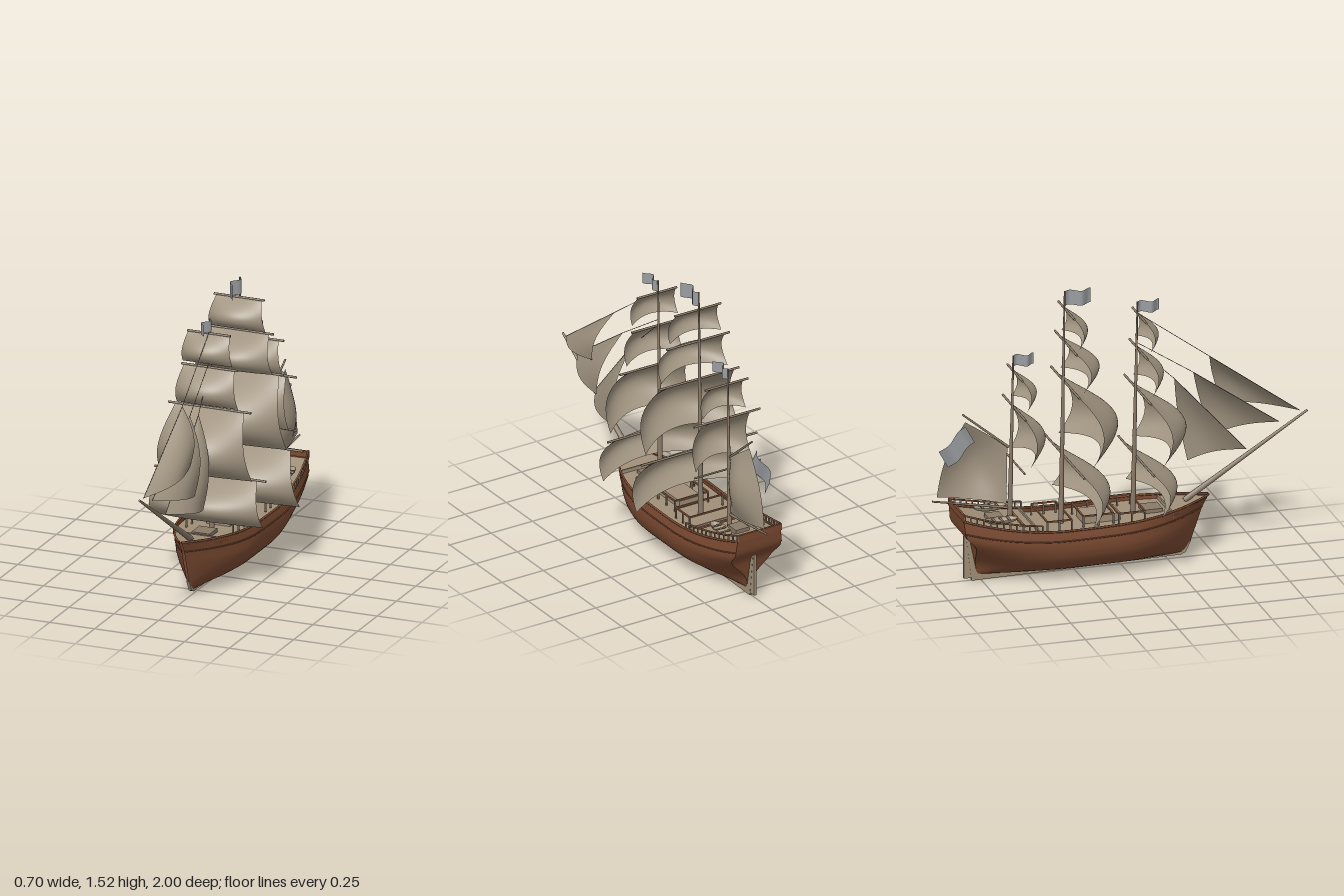
import * as THREE from 'three';

const mat = (name, color, double = true) => {
  const m = new THREE.MeshStandardMaterial({ color, side: double ? THREE.DoubleSide : THREE.FrontSide });
  m.name = name;
  return m;
};
const V = (x, y, z) => new THREE.Vector3(x, y, z);
const lerp = THREE.MathUtils.lerp;

// piecewise linear lookup in [[t, value], ...]
function table(rows, t) {
  for (let i = 1; i < rows.length; i++) {
    const [a, p] = rows[i - 1], [b, q] = rows[i];
    if (t <= b) return lerp(p, q, Math.max(0, (t - a) / (b - a)));
  }
  return rows[rows.length - 1][1];
}

// grid surface from a rule f(u, v) with u, v in 0..1
function patch(f, nu, nv) {
  const pos = [], idx = [];
  for (let j = 0; j <= nv; j++) for (let i = 0; i <= nu; i++) pos.push(...f(i / nu, j / nv));
  for (let j = 0; j < nv; j++) for (let i = 0; i < nu; i++) {
    const a = j * (nu + 1) + i, c = a + nu + 1;
    idx.push(a, c, a + 1, a + 1, c, c + 1);
  }
  const g = new THREE.BufferGeometry();
  g.setAttribute('position', new THREE.Float32BufferAttribute(pos, 3));
  g.setIndex(idx);
  g.computeVertexNormals();
  return g;
}

// hull rule: s runs stern to bow, h runs keel to gunwale
const FULL = [[0, 0], [0.03, 0.28], [0.08, 0.48], [0.16, 0.65], [0.28, 0.82], [0.42, 0.93], [0.58, 0.99], [0.72, 1], [0.85, 0.985], [1, 0.95]];
const STEM = [[0, 0.34], [0.18, 0.37], [0.8, 0.435], [1, 0.47]];
const POST = [[0, -0.77], [0.56, -0.81], [0.74, -0.87], [1, -0.88]];
const sheer = s => s < 0.42 ? 0.285 + 0.09 * ((0.42 - s) / 0.42) ** 2 : 0.285 + 0.045 * ((s - 0.42) / 0.58) ** 2;
function hullPoint(s, h) {
  const bow = Math.max(0, (s - 0.6) / 0.4), stern = Math.max(0, (0.4 - s) / 0.4);
  const run = lerp(0.9, 0.32, THREE.MathUtils.smoothstep(h, 0.1, 0.65));
  const w = 0.203 * (1 - 0.97 * bow ** 2.1) * (1 - run * stern ** 2);
  return [w * table(FULL, h), lerp(0.025, sheer(s), h), lerp(table(POST, h), table(STEM, h), s)];
}
const station = z => (z + 0.88) / 1.35;

export function createModel() {
  const root = new THREE.Group();
  root.name = 'sailingShip';
  const hullMat = mat('hullBrown', 0x7b4a31), railMat = mat('railBrown', 0x8a5c40, false);
  const deckMat = mat('deckTan', 0xa08f78), sailMat = mat('sailCanvas', 0xa09380);
  const sparMat = mat('sparWood', 0x8a7a68, false), flagMat = mat('flagGrey', 0x9a9da0);
  const ropeMat = mat('rope', 0x5a5249, false);

  const add = (name, geo, m, parent = root) => {
    const o = new THREE.Mesh(geo, m);
    o.name = name;
    parent.add(o);
    return o;
  };
  const box = (name, w, h, d, x, y, z, m, p) => add(name, new THREE.BoxGeometry(w, h, d), m, p).position.set(x, y, z);
  const spar = (name, a, b, r0, r1, m = sparMat, p = root) => {
    const dir = b.clone().sub(a);
    const o = add(name, new THREE.CylinderGeometry(r1, r0, dir.length(), 10), m, p);
    o.position.copy(a).lerp(b, 0.5);
    o.quaternion.setFromUnitVectors(V(0, 1, 0), dir.normalize());
  };

  // hull shell, transom and bulwark trim
  const hull = new THREE.Group();
  hull.name = 'hull';
  root.add(hull);
  add('hullShell', patch((u, v) => {
    const k = u * 2 - 1, [x, y, z] = hullPoint(v, Math.abs(k) ** 1.5);
    return [Math.sign(k) * x, y, z];
  }, 40, 48), hullMat, hull);
  add('transom', patch((u, v) => {
    const [x, y, z] = hullPoint(0, v ** 1.5);
    return [(u * 2 - 1) * x, y, z];
  }, 2, 20), hullMat, hull);
  const trim = (name, h, dy, s0, s1, r, m, side) => {
    const pts = [];
    for (let i = 0; i <= 24; i++) {
      const [x, y, z] = hullPoint(lerp(s0, s1, i / 24), h);
      pts.push(V(side * x, y + dy, z));
    }
    add(name, new THREE.TubeGeometry(new THREE.CatmullRomCurve3(pts), 48, r, 6), m, hull);
  };
  for (const side of [-1, 1]) {
    trim('wale', 0.8, 0, 0, 1, 0.004, hullMat, side);
    trim('gunwale', 1, 0, 0, 1, 0.006, hullMat, side);
    trim('sternRail', 1, 0.033, 0, 0.3, 0.005, railMat, side);
    for (let i = 0; i <= 12; i++) {
      const [x, y, z] = hullPoint(i * 0.025, 1);
      box('railPost', 0.007, 0.034, 0.007, side * x, y + 0.016, z, sparMat, hull);
    }
  }
  box('taffrail', 0.265, 0.035, 0.012, 0, 0.389, -0.876, hullMat, hull);

  // keel with forefoot, and rudder
  const keel = new THREE.Shape([[0.375, 0.09], [0.345, 0.03], [0.32, 0.018], [-0.8, 0], [-0.83, 0.24],
    [-0.8, 0.24], [-0.765, 0.035], [0.3, 0.04]].map(([z, y]) => new THREE.Vector2(z, y)));
  add('keel', new THREE.ExtrudeGeometry(keel, { depth: 0.016, bevelEnabled: false })
    .translate(0, 0, -0.008).rotateY(-Math.PI / 2), deckMat, hull);
  box('rudder', 0.014, 0.23, 0.045, 0, 0.13, -0.818, deckMat, hull);

  // decks
  const deck = (name, z0, z1, drop) => add(name, patch((u, v) => {
    const z = lerp(z0, z1, v), s = station(z);
    return [(1 - u * 2) * hullPoint(s, 0.9)[0] * 0.97, sheer(s) - drop, z];
  }, 2, 20), deckMat);
  deck('mainDeck', -0.5, 0.28, 0.025);
  deck('quarterDeck', -0.872, -0.49, 0.006);
  deck('foreDeck', 0.24, 0.45, 0.01);
  box('quarterDeckStep', 0.37, 0.03, 0.008, 0, 0.285, -0.49, deckMat);
  box('foreDeckStep', 0.26, 0.03, 0.008, 0, 0.287, 0.24, deckMat);

  // deck fittings
  box('hatchHouse', 0.13, 0.04, 0.2, 0, 0.285, -0.12, deckMat);
  box('hatchCover', 0.1, 0.02, 0.1, 0, 0.288, 0.16, sparMat);
  box('skylight', 0.08, 0.03, 0.08, 0, 0.33, -0.68, sparMat);
  const frame = (zc, w, d, y) => {
    const g = new THREE.Group();
    g.name = 'pinRail';
    root.add(g);
    for (const k of [-1, 1]) {
      box('railSide', 0.008, 0.008, d, k * w / 2, y, zc, railMat, g);
      box('railEnd', w, 0.008, 0.008, 0, y, zc + k * d / 2, railMat, g);
      for (const j of [-1, 0, 1]) box('post', 0.008, 0.06, 0.008, k * w / 2, y - 0.03, zc + j * d / 2, sparMat, g);
    }
  };
  frame(-0.37, 0.28, 0.13, 0.325);
  frame(0.02, 0.26, 0.14, 0.325);
  frame(-0.15, 0.2, 0.16, 0.32);
  box('quarterDeckRail', 0.36, 0.01, 0.012, 0, 0.33, -0.57, railMat);
  for (const side of [-1, 1]) {
    const boat = add('shipsBoat', new THREE.SphereGeometry(1, 16, 8, 0, Math.PI * 2, Math.PI / 2, Math.PI / 2), deckMat);
    boat.scale.set(0.036, 0.028, 0.09);
    boat.position.set(side * 0.1, 0.357, -0.67);
    for (const k of [-0.04, 0, 0.04]) box('thwart', 0.056, 0.004, 0.012, side * 0.1, 0.352, -0.67 + k, sparMat);
  }

  // masts with yards, square sails and flags
  // each sail: top y, bottom y, forward belly, top half-width, bottom half-width, yard half-width
  const masts = [
    { name: 'fore', z0: 0.065, z1: 0.09, top: 1.42, flag: [0.12, 0.06], sails: [
      [0.578, 0.34, 0.2, 0.26, 0.31, 0.31], [0.94, 0.59, 0.25, 0.19, 0.255, 0.23],
      [1.16, 0.96, 0.125, 0.14, 0.17, 0.155], [1.345, 1.185, 0.095, 0.115, 0.138, 0.12]] },
    { name: 'main', z0: -0.32, z1: -0.3, top: 1.52, flag: [0.145, 0.08], sails: [
      [0.622, 0.335, 0.225, 0.28, 0.35, 0.35], [1.022, 0.64, 0.27, 0.22, 0.285, 0.245],
      [1.237, 1.03, 0.17, 0.165, 0.2, 0.19], [1.415, 1.25, 0.105, 0.125, 0.155, 0.14]] },
    { name: 'mizzen', z0: -0.595, z1: -0.575, top: 1.2, flag: [0.115, 0.06], sails: [
      [0.915, 0.635, 0.16, 0.14, 0.168, 0.2], [1.105, 0.93, 0.11, 0.1, 0.13, 0.13]] },
  ];
  for (const m of masts) {
    const g = new THREE.Group();
    g.name = m.name + 'MastRig';
    root.add(g);
    const zAt = y => lerp(m.z0, m.z1, (y - 0.25) / (m.top - 0.25));
    spar(m.name + 'Mast', V(0, 0.25, m.z0), V(0, m.top, m.z1), 0.015, 0.004, sparMat, g);
    for (const [y0, y1, belly, w0, w1, yard] of m.sails) {
      const z = zAt(y0) + 0.012;
      spar(m.name + 'Yard', V(-yard, y0, z), V(yard, y0, z), 0.006, 0.006, sparMat, g);
      add(m.name + 'Sail', patch((u, v) => {
        const k = u * 2 - 1, e = k * k;
        const mid = Math.sin(Math.PI * 0.78 * v), edge = 0.45 * Math.sin(Math.PI * 0.86 * v);
        const w = lerp(w0, w1, Math.sin(v * Math.PI / 2));
        return [k * w, lerp(y0, y1 + 0.1 * (y0 - y1) * (1 - e), v), z + belly * lerp(mid, edge, e)];
      }, 20, 16), sailMat, g);
    }
    const [len, high] = m.flag;
    add(m.name + 'Flag', patch((u, v) => [0.018 * Math.sin(u * 8), m.top - v * high, m.z1 + u * len], 14, 2), flagMat, g);
  }
  spar('mizzenLowerYard', V(-0.2, 0.625, -0.575), V(0.2, 0.625, -0.575), 0.005, 0.005);

  // bowsprit, staysails and stays
  spar('bowsprit', V(0, 0.31, 0.34), V(0, 0.73, 1), 0.016, 0.006);
  const jibs = [
    [V(0.005, 0.73, 0.96), V(0.015, 1.075, 0.48), V(0.095, 0.785, 0.57), V(0, 1.36, 0.09)],
    [V(0.005, 0.68, 0.85), V(0.02, 0.995, 0.395), V(0.1, 0.61, 0.52), V(0, 1.2, 0.085)],
    [V(0.005, 0.55, 0.675), V(0.025, 0.97, 0.295), V(0.09, 0.49, 0.385), V(0, 1.17, 0.085)],
  ];
  for (const [tack, head, clew, mast] of jibs) {
    add('staysail', patch((u, v) => {
      const p = tack.clone().lerp(clew, u).lerp(head, v);
      p.x += 0.05 * Math.sin(Math.PI * u) * (1 - v) + 0.045 * Math.sin(Math.PI * v) * u;
      return p.toArray();
    }, 12, 12), sailMat);
    spar('stay', tack, head, 0.0015, 0.0015, ropeMat);
    spar('stay', head, mast, 0.0015, 0.0015, ropeMat);
  }

  // gaff sail with boom, gaff and ensign
  spar('gaff', V(0, 0.705, -0.6), V(0.02, 0.9, -0.84), 0.007, 0.005);
  spar('boom', V(0, 0.375, -0.6), V(0.03, 0.44, -1), 0.007, 0.005);
  const throat = V(0.005, 0.705, -0.605), peak = V(0.025, 0.855, -0.825);
  const tackS = V(0.005, 0.395, -0.61), clewS = V(0.03, 0.46, -0.975);
  add('gaffSail', patch((u, v) => {
    const p = throat.clone().lerp(peak, u).lerp(tackS.clone().lerp(clewS, u), v);
    p.x += 0.075 * Math.sin(Math.PI * u) * (0.3 + 0.7 * Math.sin(Math.PI * v));
    p.z -= 0.03 * Math.sin(Math.PI * v) * u;
    return p.toArray();
  }, 14, 14), sailMat);
  add('ensign', patch((u, v) => [-0.015 + 0.018 * Math.sin(u * 7),
    0.845 - 0.125 * u - 0.09 * v, -0.835 - 0.14 * u + 0.05 * v], 12, 3), flagMat);

  return root;
}
